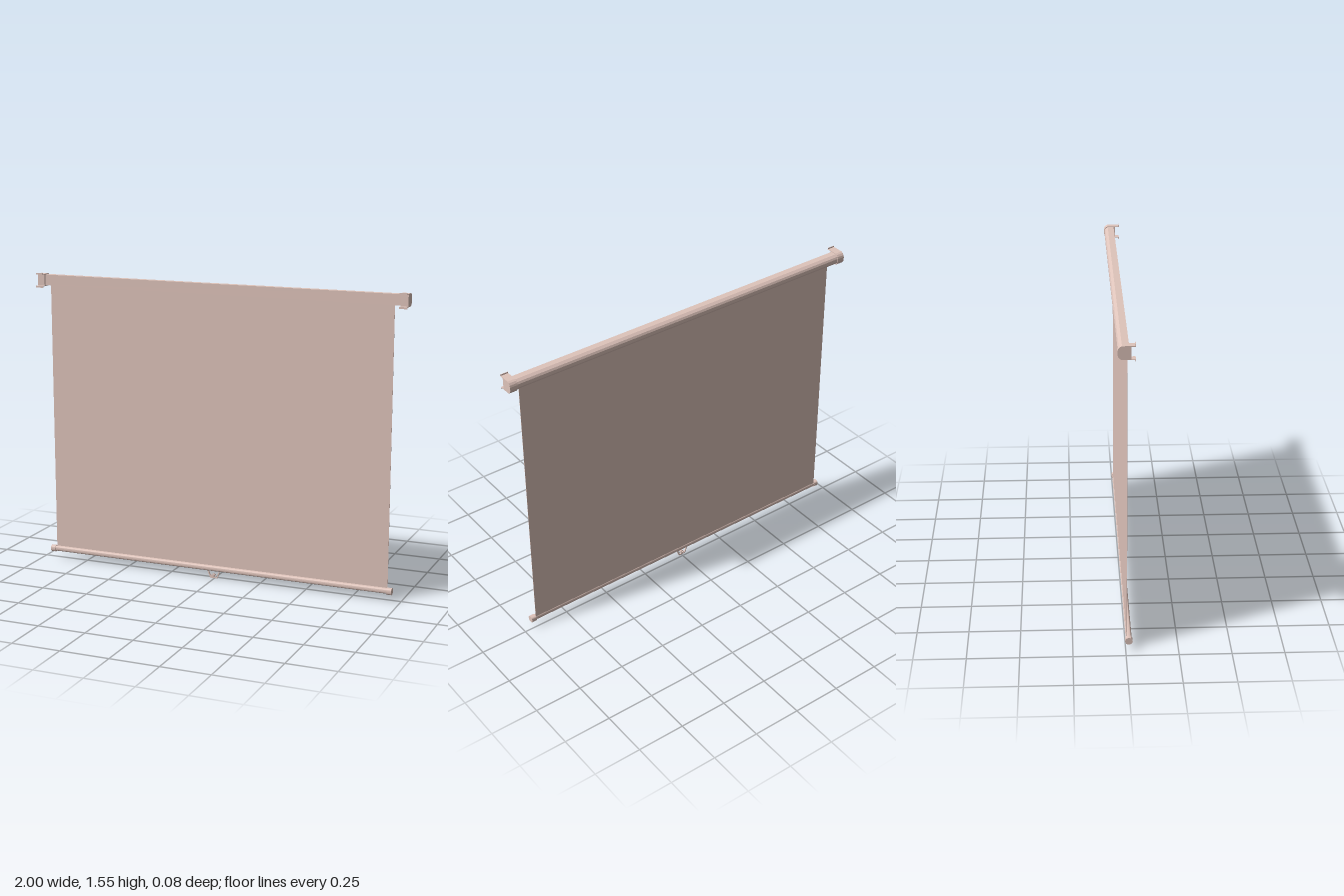
import * as THREE from 'three';
import { toCreasedNormals } from 'three/addons/utils/BufferGeometryUtils.js';

const material = new THREE.MeshStandardMaterial({ color: 0xdfc4bb, side: THREE.DoubleSide });

function add(parent, name, geometry, x = 0, y = 0, z = 0) {
  const mesh = new THREE.Mesh(geometry, material);
  mesh.name = name;
  mesh.position.set(x, y, z);
  parent.add(mesh);
  return mesh;
}

// Extrudes a [z, y] outline along x, centred on x = 0
function extrudeAlongX(points, width) {
  const shape = new THREE.Shape(points.map(([z, y]) => new THREE.Vector2(-z, y)));
  const geometry = new THREE.ExtrudeGeometry(shape, { depth: width, bevelEnabled: false });
  return geometry.translate(0, 0, -width / 2).rotateY(Math.PI / 2);
}

const rod = (radius, length, sides = 24) =>
  toCreasedNormals(new THREE.CylinderGeometry(radius, radius, length, sides).rotateZ(Math.PI / 2), 0.7);

export function createModel() {
  const model = new THREE.Group();
  model.name = 'projectionScreen';

  // Hollow casing with a slot underneath for the fabric
  const outer = [[0.011, 1.485], [0.011, 1.54], [-0.021, 1.54], [-0.034, 1.531],
    [-0.039, 1.521], [-0.039, 1.504], [-0.034, 1.494], [-0.021, 1.485], [-0.012, 1.485]];
  const inner = [[-0.012, 1.488], [-0.02, 1.488], [-0.032, 1.496], [-0.036, 1.505],
    [-0.036, 1.52], [-0.032, 1.529], [-0.02, 1.537], [0.008, 1.537], [0.008, 1.485]];
  add(model, 'casing', extrudeAlongX([...outer, ...inner], 1.93));
  add(model, 'roller', rod(0.016, 1.92), 0, 1.512, -0.011);

  // Fabric sheet
  add(model, 'fabric', new THREE.BoxGeometry(1.86, 1.45, 0.002), 0, 0.775, 0.006);

  // End caps with hooked mounting tabs
  const capOutline = [[0.02, 1.48], [0.02, 1.544], [-0.021, 1.544], [-0.031, 1.539],
    [-0.038, 1.53], [-0.041, 1.52], [-0.041, 1.504], [-0.038, 1.494], [-0.031, 1.485], [-0.021, 1.48]];
  for (const side of [-1, 1]) {
    const cap = new THREE.Group();
    cap.name = side > 0 ? 'leftEndCap' : 'rightEndCap';
    cap.position.x = side * 0.98;
    model.add(cap);
    add(cap, 'capBody', extrudeAlongX(capOutline, 0.04));
    for (const up of [-1, 1]) {
      const edge = 1.512 + up * 0.032;
      add(cap, 'mountingTab', new THREE.BoxGeometry(0.04, 0.003, 0.022), 0, edge - up * 0.0015, 0.029);
      add(cap, 'tabLip', new THREE.BoxGeometry(0.04, 0.009, 0.003), 0, edge + up * 0.002, 0.0385);
    }
    // Bottom bar end plug
    add(model, 'barPlug', rod(0.018, 0.026), side * 0.943, 0.052, 0.015);
  }

  // Weighted bottom bar
  add(model, 'bottomBar', rod(0.0145, 1.88), 0, 0.053, 0.015);

  // Pull handle: open trapezoid frame with a small hook across the grip
  const handle = new THREE.Group();
  handle.name = 'pullHandle';
  handle.position.set(-0.005, 0, 0.015);
  model.add(handle);
  const frame = new THREE.Shape([[-0.036, 0.042], [-0.02, 0.001], [0.02, 0.001], [0.036, 0.042],
    [0.03, 0.042], [0.016, 0.007], [-0.016, 0.007], [-0.03, 0.042]].map(([x, y]) => new THREE.Vector2(x, y)));
  add(handle, 'handleFrame', new THREE.ExtrudeGeometry(frame, { depth: 0.006, bevelEnabled: false }), 0, 0, -0.003);
  add(handle, 'hookStem', new THREE.BoxGeometry(0.012, 0.022, 0.004), 0, 0.014, 0);
  add(handle, 'hookArm', new THREE.BoxGeometry(0.016, 0.004, 0.032), 0, 0.018, 0.007);
  add(handle, 'hookTip', new THREE.BoxGeometry(0.016, 0.013, 0.003), 0, 0.02, 0.0235);

  return model;
}
